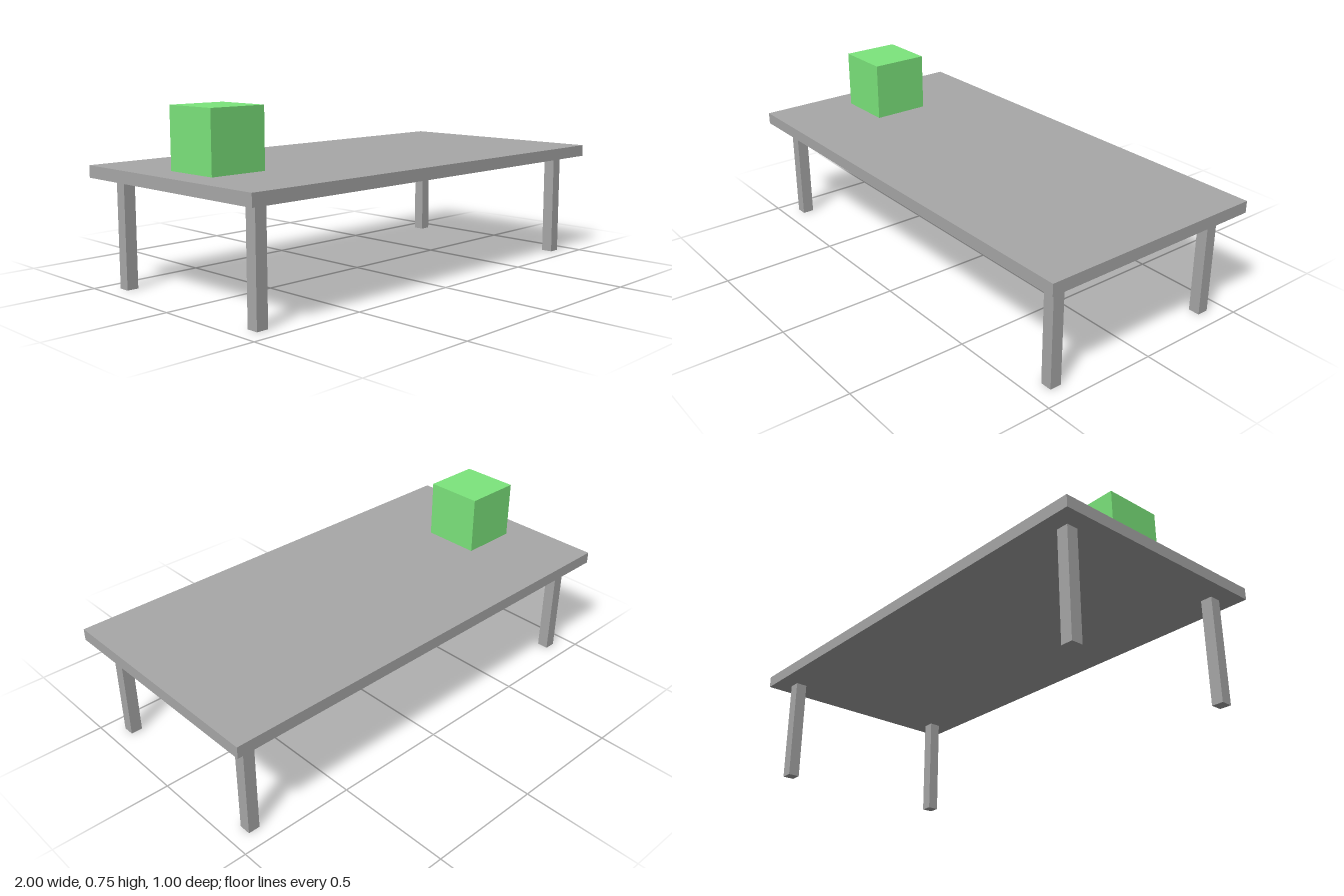
import * as THREE from 'three';

export function createModel() {
  const model = new THREE.Group();
  model.name = 'tableWithCube';

  const grey = new THREE.MeshStandardMaterial({ color: 0xa8a8a8 });
  grey.name = 'tableGrey';
  const green = new THREE.MeshStandardMaterial({ color: 0x7ce57c });
  green.name = 'cubeGreen';

  // Adds a box whose underside sits at height y
  function addBox(name, [w, h, d], [x, y, z], material, parent = model) {
    const mesh = new THREE.Mesh(new THREE.BoxGeometry(w, h, d), material);
    mesh.name = name;
    mesh.position.set(x, y + h / 2, z);
    parent.add(mesh);
  }

  // Table: slab top on four square legs
  const table = new THREE.Group();
  table.name = 'table';
  model.add(table);
  addBox('tableTop', [2, 0.05, 1], [0, 0.45, 0], grey, table);
  for (const [side, x] of [['Left', 0.9], ['Right', -0.9]]) {
    for (const [end, z] of [['front', 0.4], ['back', -0.4]]) {
      addBox(`${end}${side}Leg`, [0.05, 0.45, 0.05], [x, 0, z], grey, table);
    }
  }

  // Cube resting near one end of the table
  addBox('cube', [0.25, 0.25, 0.25], [-0.75, 0.5, 0], green);

  return model;
}
